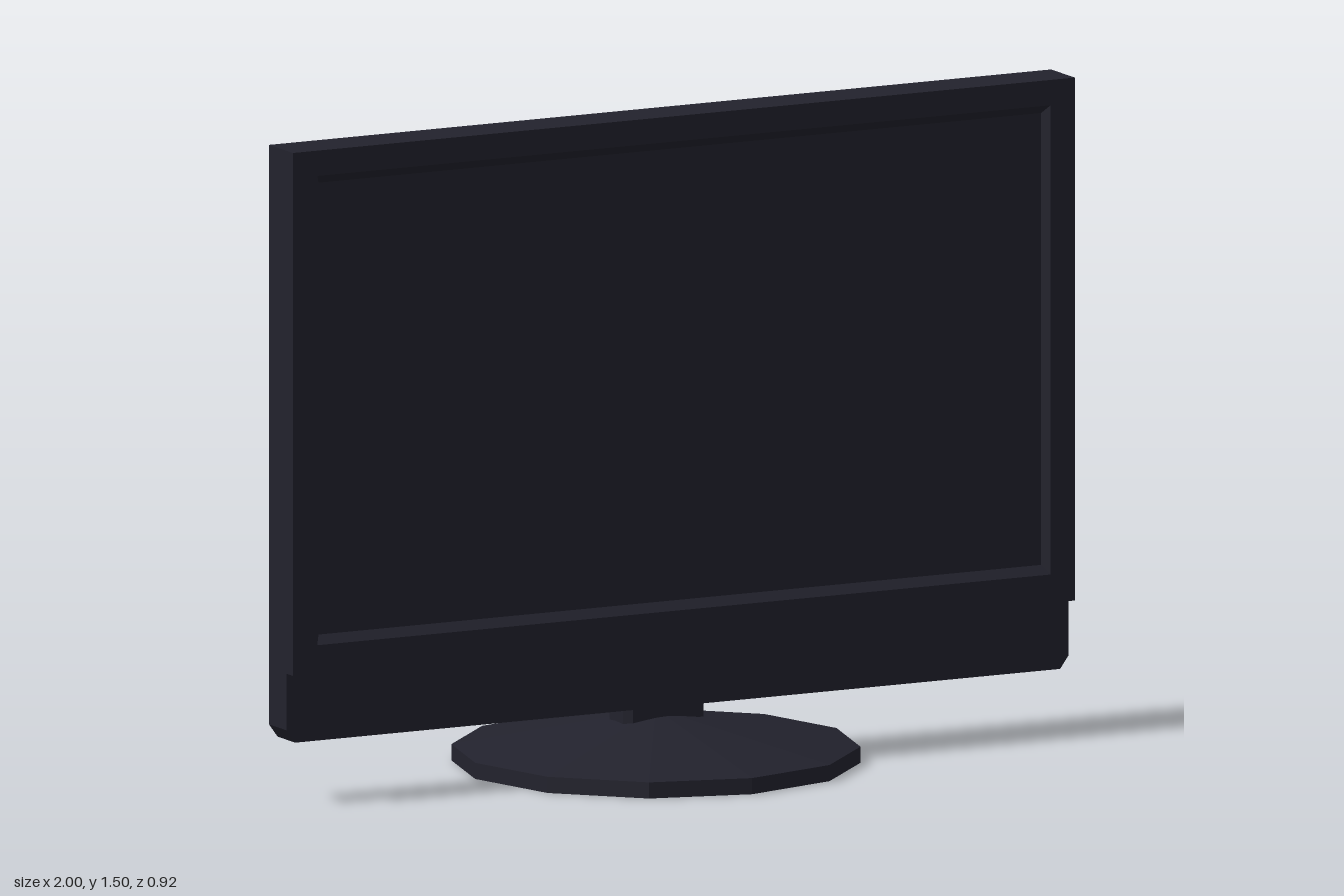
import * as THREE from 'three';

// Flat-faced copy of a geometry
function faceted(geometry) {
  const g = geometry.index ? geometry.toNonIndexed() : geometry;
  g.computeVertexNormals();
  return g;
}

// Solid through rectangles listed back to front: [half width, bottom, top, z]
function rectLoft(rings) {
  const positions = [];
  const index = [];
  for (const [w, y0, y1, z] of rings) {
    positions.push(-w, y0, z, w, y0, z, w, y1, z, -w, y1, z);
  }
  for (let r = 0; r < rings.length - 1; r++) {
    for (let i = 0; i < 4; i++) {
      const a = r * 4 + i;
      const b = r * 4 + ((i + 1) % 4);
      index.push(a, b, b + 4, a, b + 4, a + 4);
    }
  }
  const e = (rings.length - 1) * 4;
  index.push(0, 2, 1, 0, 3, 2, e, e + 1, e + 2, e, e + 2, e + 3);
  const g = new THREE.BufferGeometry();
  g.setAttribute('position', new THREE.Float32BufferAttribute(positions, 3));
  g.setIndex(index);
  return faceted(g);
}

function extrude(points, depth) {
  const shape = new THREE.Shape(points.map(([x, y]) => new THREE.Vector2(x, y)));
  return new THREE.ExtrudeGeometry(shape, { depth, bevelEnabled: false });
}

export function createModel() {
  const group = new THREE.Group();
  const plastic = new THREE.MeshStandardMaterial({ color: 0x22222d });
  plastic.name = 'dark plastic';

  function add(name, geometry) {
    const mesh = new THREE.Mesh(geometry, plastic);
    mesh.name = name;
    group.add(mesh);
  }

  // Housing with a bevelled recess leading to the screen
  add('screenHousing', rectLoft([
    [1, 0.305, 1.505, 0.02],
    [1, 0.305, 1.505, 0.135],
    [0.938, 0.37, 1.447, 0.135],
    [0.924, 0.39, 1.427, 0.115],
  ]));

  // Set-back lower strip with clipped bottom corners
  const strip = extrude([
    [-0.978, 0.145], [0.978, 0.145], [1, 0.175],
    [1, 0.305], [-1, 0.305], [-1, 0.175],
  ], 0.085);
  strip.translate(0, 0, 0.02);
  add('lowerStrip', strip);

  // Rear bulge, sloped at top and bottom
  add('rearCover', rectLoft([
    [0.745, 0.64, 1.255, -0.05],
    [0.745, 0.57, 1.32, 0.02],
  ]));

  // Upright post with clipped corners, reaching into the hollow base
  const post = extrude([
    [-0.085, -0.05], [0.085, -0.05], [0.103, -0.035], [0.103, 0.028],
    [0.09, 0.04], [-0.09, 0.04], [-0.103, 0.028], [-0.103, -0.035],
  ], 0.605);
  post.rotateX(-Math.PI / 2);
  post.translate(0, 0.035, 0);
  add('post', post);

  // Hollow twelve-sided foot
  const profile = [
    [0, 0.095], [0.05, 0.095], [0.445, 0.025], [0.45, 0],
    [0.462, 0], [0.462, 0.037], [0.05, 0.112], [0, 0.112],
  ].map(([r, y]) => new THREE.Vector2(r, y));
  add('foot', faceted(new THREE.LatheGeometry(profile, 12)));

  return group;
}
